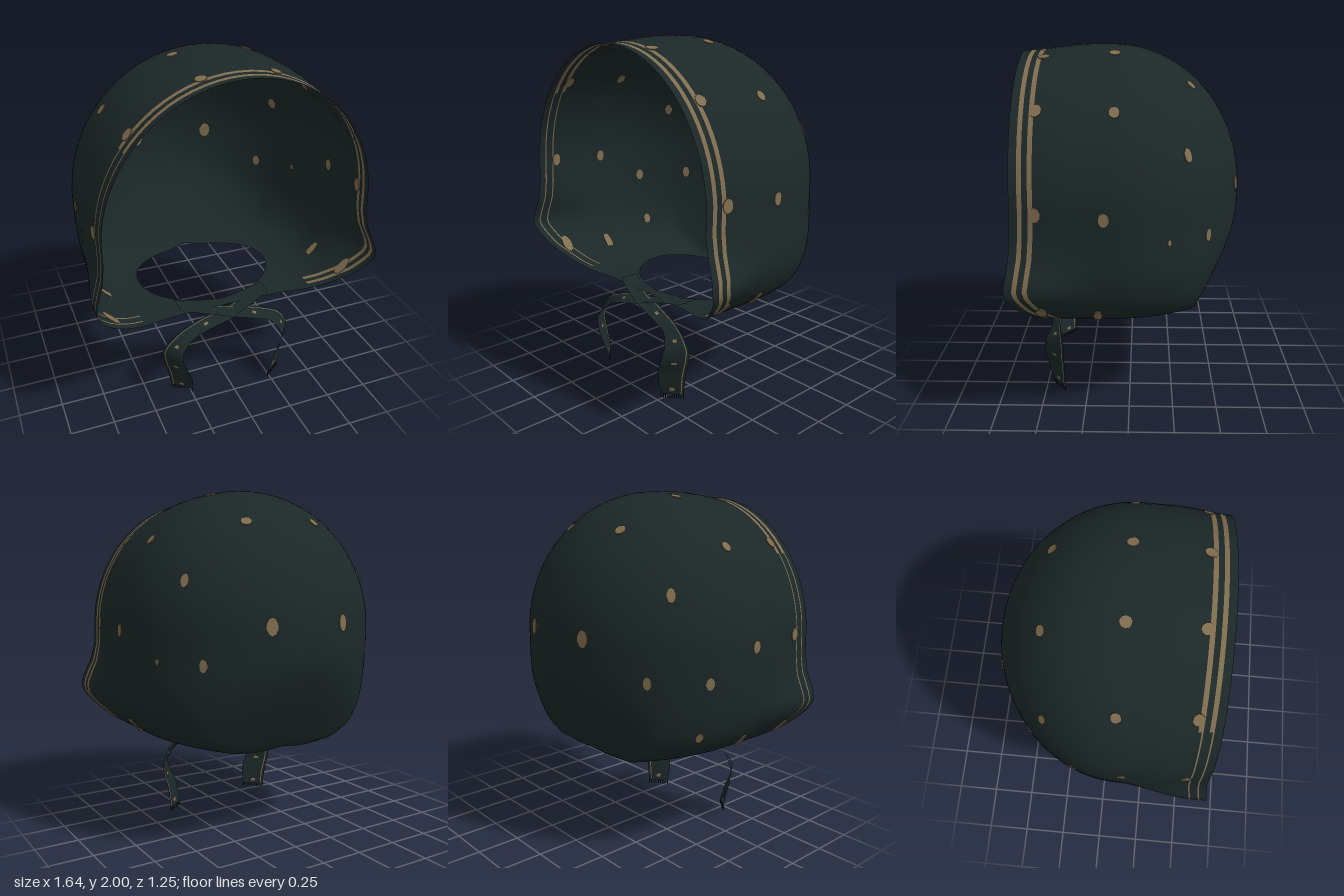
import * as THREE from 'three';
import { mergeVertices } from 'three/addons/utils/BufferGeometryUtils.js';

const { lerp, smoothstep } = THREE.MathUtils;

// Curved sheet from a point rule; cells chosen by isTrim get the second material
function sheet(rows, cols, point, isTrim) {
  const pos = [], cells = [[], []];
  for (let i = 0; i <= rows; i++)
    for (let j = 0; j <= cols; j++) pos.push(...point(i, j));
  for (let i = 0; i < rows; i++)
    for (let j = 0; j < cols; j++) {
      const a = i * (cols + 1) + j, b = a + cols + 1;
      cells[isTrim(i, j) ? 1 : 0].push(a, b, a + 1, b, b + 1, a + 1);
    }
  let g = new THREE.BufferGeometry();
  g.setAttribute('position', new THREE.Float32BufferAttribute(pos, 3));
  g.setIndex([...cells[0], ...cells[1]]);
  g.addGroup(0, cells[0].length, 0);
  g.addGroup(cells[0].length, cells[1].length, 1);
  g = mergeVertices(g, 1e-5);
  g.computeVertexNormals();
  return g;
}

// Depth of the front rim at each height: [y, z]
const RIM = [[0.535, 0.36], [0.56, 0.42], [0.6, 0.47], [0.7, 0.56], [0.83, 0.625],
  [1.0, 0.6], [1.2, 0.587], [2.1, 0.593]];
function rimDepth(y) {
  for (let k = 1; k < RIM.length; k++) {
    const [y0, z0] = RIM[k - 1], [y1, z1] = RIM[k];
    if (y <= y1) return lerp(z0, z1, Math.max(0, (y - y0) / (y1 - y0)));
  }
  return 0.593;
}

// Rows measured back from the rim; two of the gaps hold the trim stripes
const BANDS = [0, 0.042, 0.05, 0.066, 0.095, 0.103, 0.12];
const LAST = BANDS.length - 1;
const ROWS = 50, HALF = 56, BACK = -0.625, MID = 1.2, DOWN = 0.665;

function hoodPoint(i, j) {
  const side = Math.sign(j - HALF);
  const s = Math.pow(1 - Math.abs(j - HALF) / HALF, 1.6);
  // depth of this point
  const a = Math.PI * (s - 0.5);
  const rim = rimDepth(MID + (a < 0 ? -DOWN * Math.sqrt(-Math.sin(a)) : 0.8 * Math.sin(a)));
  const z = i <= LAST ? rim - BANDS[i]
    : lerp(rim - BANDS[LAST], BACK, Math.sin((i - LAST) / (ROWS - LAST) * Math.PI / 2));
  // size of the cross-section at this depth
  const k = Math.max(0, (0.1 - z) / (0.1 - BACK));
  const q = Math.sqrt(Math.max(0, 1 - k * k));
  const n = 2.8 + 1.2 * q;
  const width = 0.778 * q;
  const up = 0.8 * q - 0.035 * smoothstep(z, 0.2, 0.6);
  const r = Math.min(1, q / 0.773);
  const down = DOWN * Math.pow(r, 0.85 + 0.8 * r);
  // neck opening underneath
  const hole = 0.42 * Math.sqrt(Math.max(0, 1 - ((z + 0.04) / 0.32) ** 2));
  const start = width > 0 ? -Math.acos(Math.min(1, Math.pow(hole / width, n / 2))) : -Math.PI / 2;
  const f = lerp(start, Math.PI / 2, s);
  const c = Math.max(0, Math.cos(f)), sn = Math.sin(f);
  let x = width * Math.pow(c, f < 0 ? 2 / n : 1);
  const y = MID + (f < 0 ? -down * Math.pow(-sn, 2 / n) : up * sn);
  // face opening drawn in above, flared cheek corners below
  x *= 1 - 0.035 * smoothstep(z, 0.3, 0.6) * smoothstep(y, 0.9, 1.1);
  x += 0.06 * Math.exp(-(((y - 0.82) / 0.12) ** 2)) * smoothstep(z, 0.1, 0.52);
  // slight lean of the crown
  return [side * x - 0.012 * smoothstep(y, 0.85, 1.15), y, z];
}

// Stripes stop under the cheeks and run thinner down the right side
function hoodStripe(i, j) {
  const fromEnd = Math.min(j, HALF * 2 - 1 - j);
  if (fromEnd < HALF * 0.3) return false;
  if (i === 1 || i === 4) return true;
  return (i === 2 || i === 5) && j > HALF * 0.8;
}

// Dots: x, y, z, half width, half height; PAIRED ones appear on both sides
const PAIRED = [
  [0.23, 1.82, -0.345, 0.031, 0.03], [0.59, 1.5, -0.31, 0.023, 0.038],
  [0.23, 1.26, -0.59, 0.033, 0.048], [0.53, 1.06, -0.41, 0.022, 0.035],
  [0.21, 1.97, 0.08, 0.031, 0.031], [0.59, 1.71, 0.07, 0.028, 0.032],
  [0.77, 1.21, 0.12, 0.027, 0.036], [0.66, 0.66, 0.16, 0.024, 0.06],
  [0.2, 1.95, 0.462, 0.034, 0.03], [0.56, 1.71, 0.462, 0.03, 0.036],
  [0.77, 1.23, 0.462, 0.03, 0.038], [0.71, 0.69, 0.45, 0.03, 0.06],
];
const SINGLE = [
  [0.7, 1.07, -0.21, 0.01, 0.016],
  [-0.7, 1.05, -0.15, 0.025, 0.034], [-0.66, 0.75, -0.17, 0.022, 0.032],
];

// Puts a thin disc on the nearest place of the hood
function placeDot(hood, [x, y, z, w, h], material) {
  const p = hood.attributes.position, nm = hood.attributes.normal;
  const target = new THREE.Vector3(x, y, z), v = new THREE.Vector3();
  let best = 0, bestD = Infinity;
  for (let k = 0; k < p.count; k++) {
    const d = v.fromBufferAttribute(p, k).distanceToSquared(target);
    if (d < bestD) { bestD = d; best = k; }
  }
  const normal = new THREE.Vector3().fromBufferAttribute(nm, best);
  const off = target.clone().sub(v.fromBufferAttribute(p, best)).dot(normal);
  const disc = new THREE.CylinderGeometry(1, 1, 0.007, 10).rotateX(Math.PI / 2).scale(w, h, 1);
  const dot = new THREE.Mesh(disc, material);
  dot.name = 'dot';
  dot.position.copy(target).addScaledVector(normal, -off);
  dot.lookAt(dot.position.clone().add(normal));
  return dot;
}

// Chin ribbon with an edge stripe, spots and a fringe
function makeRibbon(side, endX, endY, fringe, materials) {
  const g = new THREE.Group();
  g.name = side > 0 ? 'leftRibbon' : 'rightRibbon';
  const V = (x, y, z) => new THREE.Vector3(side * x, y, z);
  const path = new THREE.CatmullRomCurve3([
    V(-0.28, 0.545, 0.28), V(-0.12, 0.53, 0.36), V(0, 0.508 + side * 0.004, 0.4), V(0.16, 0.475, 0.42),
    V(0.29, 0.42, 0.43), V(endX + 0.055, 0.33, 0.44), V(endX + 0.045, 0.25, 0.445),
    V(endX + 0.015, 0.16, 0.44), V(endX, endY, 0.425),
  ]);
  const across = new THREE.CatmullRomCurve3([
    V(0, 0, -0.06), V(0, 0.004, -0.05), V(0.01, 0.015, -0.04), V(0.03, 0.015, -0.03),
    V(0.045, 0, -0.06), V(0.055, 0, -0.06), V(0.053, 0, -0.042),
  ]);
  const cuts = [-1, -0.2, 0.2, 0.72, 0.8, 1], N = 50;
  const at = (t, w) => path.getPoint(t).addScaledVector(across.getPoint(t), w);
  const band = new THREE.Mesh(
    sheet(N, cuts.length - 1, (i, j) => at(i / N, cuts[j]).toArray(),
      (i, j) => (j === 3 && i > 8) || (j === 1 && i > 12 && i % 10 === 8)), materials);
  band.name = 'ribbonBand';
  g.add(band);
  for (let k = 0; k < 11; k++) {
    const thread = new THREE.Mesh(new THREE.BoxGeometry(0.004, fringe, 0.004), materials[0]);
    thread.name = 'fringeThread';
    thread.position.copy(at(1, -0.95 + k * 0.19));
    thread.position.y -= fringe / 2;
    g.add(thread);
  }
  return g;
}

export function createModel() {
  const cloth = new THREE.MeshStandardMaterial({ color: 0x1c2828, side: THREE.DoubleSide });
  cloth.name = 'dark green cloth';
  const trim = new THREE.MeshStandardMaterial({ color: 0x806d4f, side: THREE.DoubleSide });
  trim.name = 'tan trim';
  const model = new THREE.Group();
  model.name = 'bonnet';

  // Hood with two stripes along the face opening
  const hoodGeometry = sheet(ROWS, HALF * 2, hoodPoint, hoodStripe);
  const hood = new THREE.Mesh(hoodGeometry, [cloth, trim]);
  hood.name = 'hood';
  model.add(hood);

  // Scattered dots
  const dots = new THREE.Group();
  dots.name = 'dots';
  const mirrored = PAIRED.map(([x, ...rest]) => [-x, ...rest]);
  for (const d of [...PAIRED, ...mirrored, ...SINGLE]) dots.add(placeDot(hoodGeometry, d, trim));
  model.add(dots);

  // Crossed chin ribbons
  model.add(makeRibbon(1, 0.29, 0.025, 0.025, [cloth, trim]));
  model.add(makeRibbon(-1, 0.31, 0.06, 0.02, [cloth, trim]));
  return model;
}
